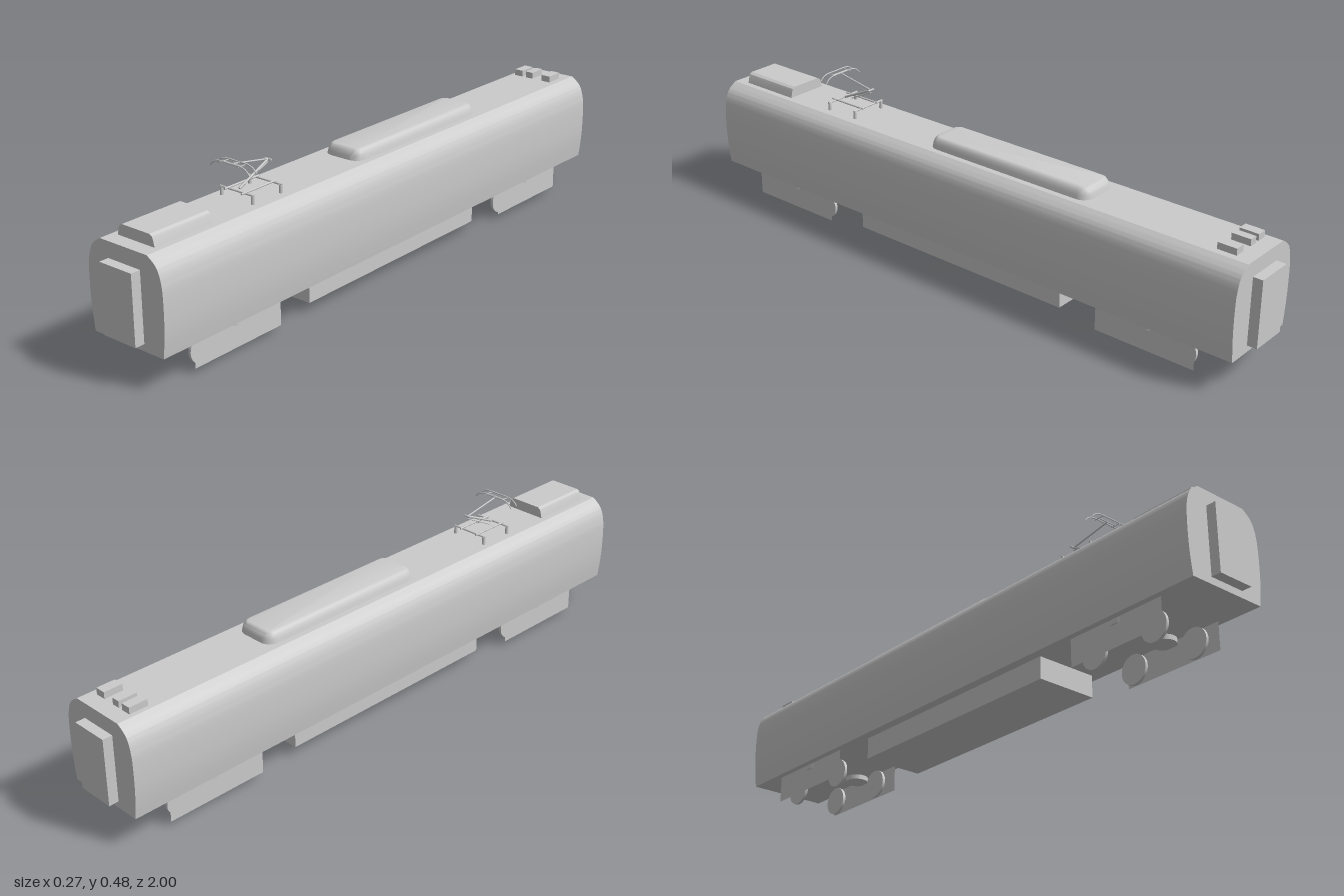
import * as THREE from 'three';
import { toCreasedNormals } from 'three/addons/utils/BufferGeometryUtils.js';

const grey = new THREE.MeshStandardMaterial({ color: 0xcccccc });
const greyThin = new THREE.MeshStandardMaterial({ color: 0xcccccc, side: THREE.DoubleSide });

function add(parent, name, geometry, x = 0, y = 0, z = 0, material = grey) {
  const mesh = new THREE.Mesh(geometry, material);
  mesh.name = name;
  mesh.position.set(x, y, z);
  parent.add(mesh);
  return mesh;
}

// Box given by its limits on each axis
function box(parent, name, [x0, x1], [y0, y1], [z0, z1]) {
  return add(parent, name, new THREE.BoxGeometry(x1 - x0, y1 - y0, z1 - z0),
    (x0 + x1) / 2, (y0 + y1) / 2, (z0 + z1) / 2);
}

// Thin round bar between two points
function bar(parent, name, a, b, r = 0.002) {
  const p = new THREE.Vector3(...a), q = new THREE.Vector3(...b);
  const d = q.clone().sub(p);
  const mesh = add(parent, name, new THREE.CylinderGeometry(r, r, d.length(), 8));
  mesh.position.copy(p).add(q).multiplyScalar(0.5);
  mesh.quaternion.setFromUnitVectors(new THREE.Vector3(0, 1, 0), d.normalize());
}

// Symmetric cross-section (right half listed bottom to top) swept along z
function sweep(half, z0, z1) {
  const pts = [...half, ...half.map(([x, y]) => [-x, y]).reverse()];
  const shape = new THREE.Shape(pts.map(([x, y]) => new THREE.Vector2(x, y)));
  const geo = new THREE.ExtrudeGeometry(shape, { depth: z1 - z0, bevelEnabled: false });
  geo.translate(0, 0, z0);
  return toCreasedNormals(geo, 0.5);
}

// Roof pod with rounded plan corners, drawn in towards a flat top
function podGeometry(halfW, z0, z1, y0, height) {
  const layers = [[0, 0], [0.003, 0.4], [0.006, 0.65], [0.011, 0.87], [0.016, 0.97], [0.02, 1]];
  const n = 6, r = 0.036, ring = 4 * (n + 1);
  const pos = [], idx = [];
  for (const [inset, t] of layers) {
    for (let c = 0; c < 4; c++) {
      const sx = c === 0 || c === 3 ? 1 : -1, sz = c < 2 ? 1 : -1;
      for (let i = 0; i <= n; i++) {
        const a = (c + i / n) * Math.PI / 2;
        pos.push(sx * (halfW - r) + Math.cos(a) * (r - inset), y0 + t * height,
          (z0 + z1) / 2 + sz * ((z1 - z0) / 2 - r) + Math.sin(a) * (r - inset));
      }
    }
  }
  for (let l = 0; l < layers.length - 1; l++) {
    for (let i = 0; i < ring; i++) {
      const a = l * ring + i, b = l * ring + (i + 1) % ring;
      idx.push(a, a + ring, b, b, a + ring, b + ring);
    }
  }
  const top = (layers.length - 1) * ring;
  for (let i = 1; i < ring - 1; i++) idx.push(top, top + i + 1, top + i);
  const geo = new THREE.BufferGeometry();
  geo.setAttribute('position', new THREE.Float32BufferAttribute(pos, 3));
  geo.setIndex(idx);
  return toCreasedNormals(geo, 0.6);
}

function createBogie() {
  const bogie = new THREE.Group();
  for (const s of [-1, 1]) {
    // Thin side frame
    const frame = add(bogie, 'bogieSideFrame', new THREE.PlaneGeometry(0.326, 0.085),
      s * 0.108, 0.0575, 0, greyThin);
    frame.rotation.y = s * Math.PI / 2;
    // Suspension disc
    add(bogie, 'suspensionDisc', new THREE.CylinderGeometry(0.036, 0.036, 0.015, 24), s * 0.077, 0.088, 0);
    // Wheels
    for (const z of [-0.107, 0.107]) {
      const wheel = add(bogie, 'wheel', new THREE.CylinderGeometry(0.044, 0.044, 0.009, 32), s * 0.0745, 0.044, z);
      wheel.rotation.z = Math.PI / 2;
    }
  }
  return bogie;
}

function createPantograph() {
  const p = new THREE.Group();
  p.name = 'pantograph';
  // Base frame on four feet
  for (const z of [0.45, 0.56]) {
    bar(p, 'baseCrossbar', [-0.065, 0.394, z], [0.06, 0.394, z], 0.003);
    for (const x of [-0.06, 0.055]) {
      add(p, 'insulatorFoot', new THREE.CylinderGeometry(0.005, 0.006, 0.024, 10), x, 0.381, z);
    }
  }
  for (const x of [-0.035, 0.028]) bar(p, 'baseRail', [x, 0.396, 0.44], [x, 0.396, 0.575], 0.003);
  // Folding arm
  bar(p, 'lowerArm', [-0.003, 0.398, 0.55], [-0.003, 0.45, 0.436], 0.0035);
  bar(p, 'lowerLink', [-0.012, 0.396, 0.53], [-0.003, 0.442, 0.436], 0.0015);
  bar(p, 'upperArm', [-0.003, 0.45, 0.436], [-0.003, 0.474, 0.57], 0.0025);
  bar(p, 'knee', [-0.015, 0.45, 0.436], [0.009, 0.45, 0.436], 0.003);
  // Contact strips with drooping horns
  const path = new THREE.CatmullRomCurve3([
    [-0.075, 0.459], [-0.064, 0.47], [-0.048, 0.477], [0, 0.478], [0.042, 0.477], [0.058, 0.47], [0.069, 0.459],
  ].map(([x, y]) => new THREE.Vector3(x, y, 0)));
  for (const z of [0.558, 0.584]) {
    add(p, 'contactStrip', new THREE.TubeGeometry(path, 28, 0.002, 6), 0, 0, z);
  }
  for (const x of [-0.035, 0.029]) bar(p, 'headLink', [x, 0.475, 0.556], [x, 0.475, 0.586], 0.0015);
  bar(p, 'headAxle', [-0.035, 0.474, 0.571], [0.029, 0.474, 0.571], 0.0015);
  return p;
}

export function createModel() {
  const model = new THREE.Group();
  model.name = 'railCar';

  // Body shell with bulging sides and a flat roof
  const side = new THREE.SplineCurve([
    [0.127, 0.098], [0.133, 0.15], [0.136, 0.2], [0.136, 0.26], [0.133, 0.3],
    [0.124, 0.333], [0.11, 0.353], [0.086, 0.37],
  ].map(([x, y]) => new THREE.Vector2(x, y))).getPoints(28).map(v => [v.x, v.y]);
  add(model, 'bodyShell', sweep(side, -0.97, 0.97));

  // Gangway connections at both ends
  for (const s of [-1, 1]) {
    box(model, 'gangway', [-0.058, 0.058], [0.119, 0.323], s > 0 ? [0.965, 1] : [-1, -0.965]);
  }

  // Underfloor equipment and bogies
  box(model, 'underfloorCase', [-0.098, 0.098], [0.031, 0.1], [-0.387, 0.39]);
  for (const [name, z] of [['frontBogie', 0.682], ['rearBogie', -0.682]]) {
    const bogie = createBogie();
    bogie.name = name;
    bogie.position.z = z;
    model.add(bogie);
  }

  // Roof equipment
  add(model, 'roofPod', podGeometry(0.068, -0.446, 0.138, 0.368, 0.035));
  add(model, 'frontRoofUnit', sweep([[0.068, 0.368], [0.062, 0.391], [0.059, 0.398], [0.05, 0.403]], 0.723, 0.926));
  for (const x of [[-0.072, -0.042], [-0.028, -0.003], [0.033, 0.065]]) {
    box(model, 'rearRoofBox', x, [0.365, 0.39], [-0.922, -0.863]);
  }
  model.add(createPantograph());
  return model;
}
